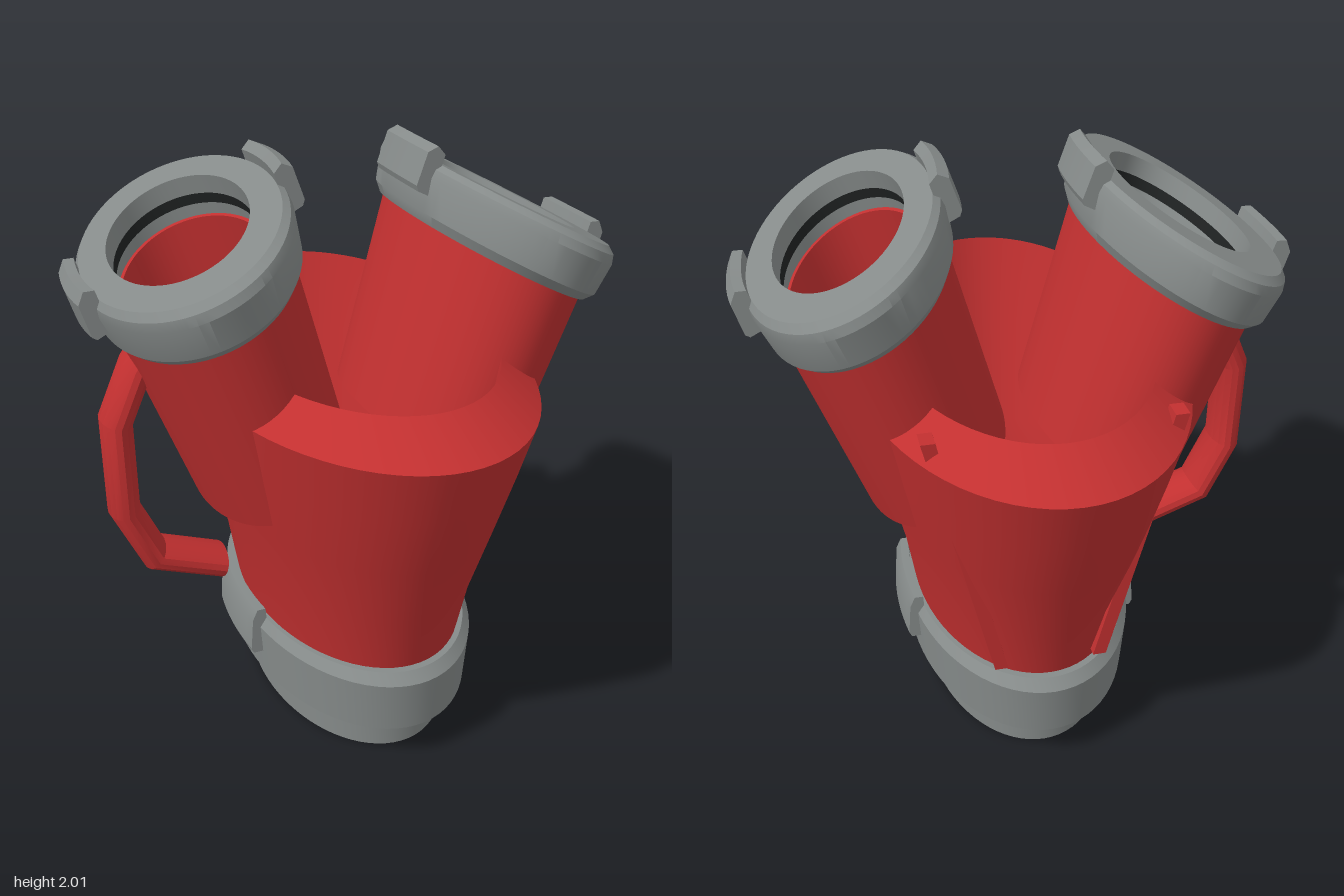
import * as THREE from 'three';
import { toCreasedNormals } from 'three/addons/utils/BufferGeometryUtils.js';

const SQUASH = 0.6; // all pipes are oval: x radius is 0.6 of the z radius
const red = new THREE.MeshStandardMaterial({ color: 0xc23030 });
const grey = new THREE.MeshStandardMaterial({ color: 0x868b8a });
const dark = new THREE.MeshStandardMaterial({ color: 0x1f2222 });
red.name = 'red plastic';
grey.name = 'grey coupling';
dark.name = 'dark seal';

const V = (x, y, z = 0) => new THREE.Vector3(x, y, z);

// Oval upright frame, and the skewed frame of a branch pipe
const uprightFrame = new THREE.Matrix4().makeScale(SQUASH, 1, 1);
const branchFrame = new THREE.Matrix4()
  .makeBasis(V(0.535, -0.272), V(0.31, 0.95), V(0, 0, 1))
  .setPosition(0.5, 1.62, 0);

function part(name, geometry, material, matrix) {
  if (matrix) geometry.applyMatrix4(matrix);
  const mesh = new THREE.Mesh(toCreasedNormals(geometry, 0.45), material);
  mesh.name = name;
  return mesh;
}

// Closed ring: profile runs up the outside and down the inside
function ring(profile) {
  const pts = profile.map(([r, y]) => new THREE.Vector2(r, y));
  pts.push(pts[0].clone());
  return new THREE.LatheGeometry(pts, 72);
}

// Latch plate bent around a collar of radius r
function latch(profile, width, r) {
  const shape = new THREE.Shape(profile.map(([x, y]) => new THREE.Vector2(x, y)));
  const g = new THREE.ExtrudeGeometry(shape, { depth: width, steps: 8, bevelEnabled: false });
  g.translate(0, 0, -width / 2);
  const p = g.attributes.position;
  for (let i = 0; i < p.count; i++) {
    const z = p.getZ(i);
    p.setX(i, p.getX(i) - (r - Math.sqrt(r * r - z * z)));
  }
  return g;
}

function addLatches(group, profile, width, r, frame) {
  for (const turn of [0, Math.PI]) {
    const g = latch(profile, width, r).rotateY(turn);
    group.add(part('latch', g, grey, frame));
  }
}

// Branch pipe with its coupling, leaning towards +x
function branch() {
  const g = new THREE.Group();
  g.add(part('branchPipe', ring([
    [0.37, -0.68], [0.46, -0.68], [0.51, 0.03], [0.41, 0.03],
  ]), red, branchFrame));
  g.add(part('branchCollar', ring([
    [0.43, 0], [0.53, 0], [0.565, 0.03], [0.588, 0.14], [0.58, 0.17],
    [0.55, 0.19], [0.39, 0.19], [0.39, 0.125], [0.43, 0.125],
  ]), grey, branchFrame));
  g.add(part('branchSeal', ring([
    [0.4, 0.085], [0.44, 0.085], [0.44, 0.124], [0.4, 0.124],
  ]), dark, branchFrame));
  addLatches(g, [
    [0.55, 0.085], [0.64, 0.085], [0.66, 0.1], [0.655, 0.21], [0.605, 0.24], [0.55, 0.225],
  ], 0.31, 0.6, branchFrame);
  return g;
}

// Bent carrying bar: oval sections mitred along a path in the xy plane
function handleGeometry(path, halfThick, halfDepth, sides = 16) {
  const pos = [], idx = [];
  const dirs = path.slice(1).map((p, i) => p.clone().sub(path[i]).normalize());
  path.forEach((p, i) => {
    const d0 = dirs[Math.max(0, i - 1)], d1 = dirs[Math.min(dirs.length - 1, i)];
    const t = d0.clone().add(d1).normalize();
    const k = halfThick / t.dot(d0); // mitre stretch
    for (let j = 0; j < sides; j++) {
      const a = (j / sides) * Math.PI * 2;
      const n = k * Math.cos(a);
      pos.push(p.x + t.y * n, p.y - t.x * n, halfDepth * Math.sin(a));
    }
  });
  const last = (path.length - 1) * sides;
  for (let j = 0; j < sides; j++) {
    const j1 = (j + 1) % sides;
    for (let i = 0; i < last; i += sides) {
      const a = i + j, b = i + j1, c = a + sides, d = b + sides;
      idx.push(a, c, b, b, c, d);
    }
    if (j > 0 && j1 > 0) idx.push(0, j, j1, last, last + j1, last + j);
  }
  const g = new THREE.BufferGeometry();
  g.setAttribute('position', new THREE.Float32BufferAttribute(pos, 3));
  g.setIndex(idx);
  g.computeVertexNormals();
  return g;
}

export function createModel() {
  const model = new THREE.Group();
  model.name = 'pipeJunction';

  // Flared body, open from rim to base
  model.add(part('body', ring([
    [0.5, 0.37], [0.61, 0.37], [0.67, 0.6], [0.77, 0.86], [0.86, 1.1], [0.93, 1.3],
    [0.75, 1.4], [0.68, 1.1], [0.56, 0.7], [0.5, 0.45],
  ]), red, uprightFrame));

  // Base coupling with spigot
  const base = new THREE.Group();
  base.name = 'baseCoupling';
  base.add(part('baseCollar', ring([
    [0.44, 0], [0.545, 0], [0.552, 0.12], [0.64, 0.155], [0.655, 0.16],
    [0.675, 0.355], [0.64, 0.39], [0.44, 0.39],
  ]), grey, uprightFrame));
  base.add(part('baseSeal', ring([
    [0.437, 0.355], [0.46, 0.355], [0.46, 0.393], [0.437, 0.393],
  ]), dark, uprightFrame));
  addLatches(base, [
    [0.62, 0.25], [0.72, 0.25], [0.735, 0.27], [0.72, 0.39], [0.69, 0.43], [0.64, 0.43],
  ], 0.36, 0.68, uprightFrame);
  model.add(base);

  // Two branches, one turned half round
  for (const [name, turn] of [['leftBranch', 0], ['rightBranch', Math.PI]]) {
    const b = branch();
    b.name = name;
    b.rotation.y = turn;
    model.add(b);
  }

  // Handle hanging from the right branch
  model.add(part('handle', handleGeometry([
    V(-0.61, 1.5), V(-0.72, 1.36), V(-0.8, 1.18), V(-0.8, 0.85), V(-0.71, 0.65), V(-0.475, 0.56),
  ], 0.053, 0.092), red));

  // Slanted ribs that run up the back and poke through the rim
  for (const s of [1, -1]) {
    const slant = new THREE.Matrix4()
      .makeBasis(V(1, 0, 0), V(s * 0.22, 0.94, -0.02), V(0, 0, 1))
      .setPosition(s * 0.28, 0.9, -0.583);
    model.add(part('backRib', new THREE.BoxGeometry(0.045, 1, 0.065), red, slant));
  }
  return model;
}
